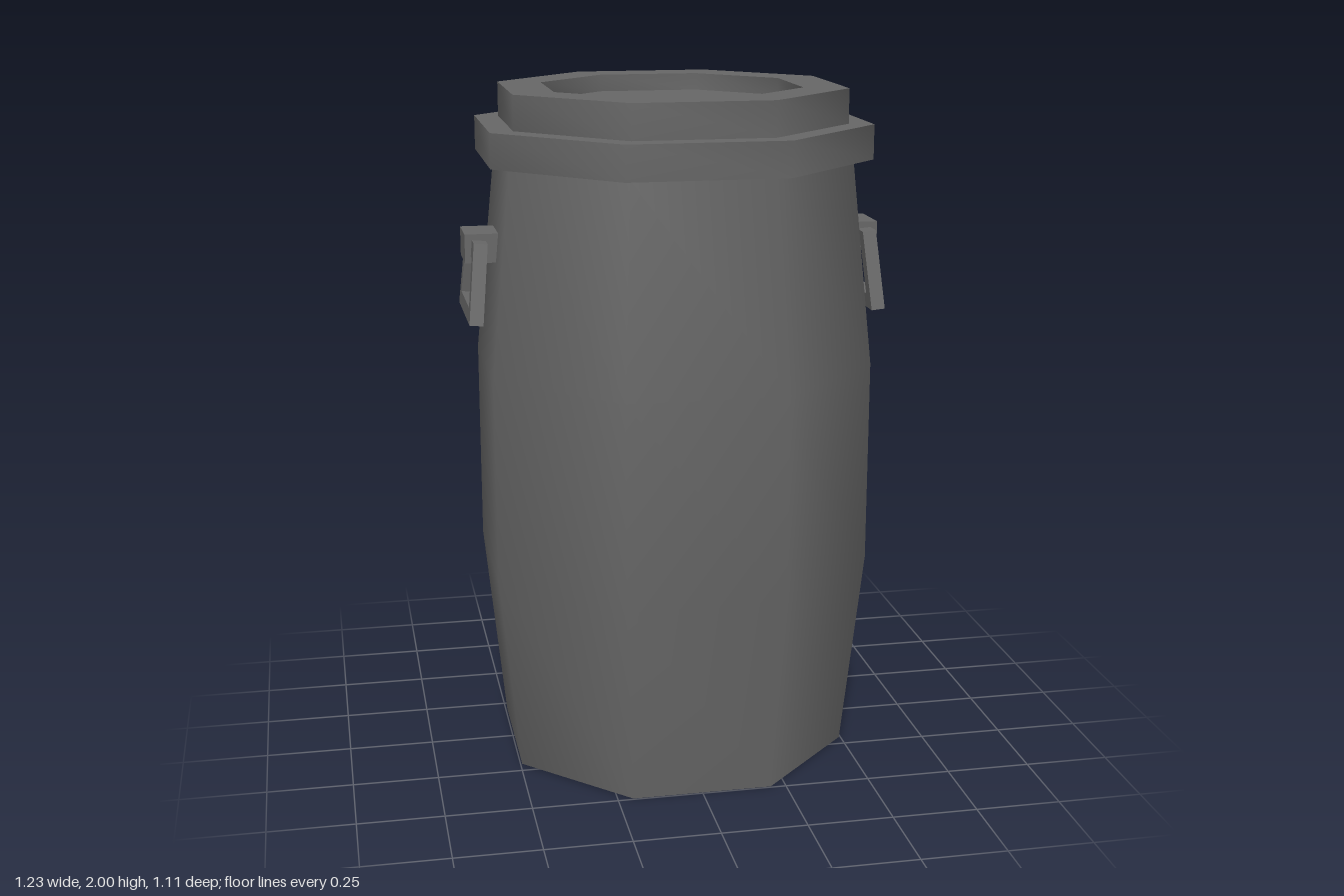
import * as THREE from 'three';
import { toCreasedNormals } from 'three/addons/utils/BufferGeometryUtils.js';

const SIDES = 8;
const plastic = new THREE.MeshStandardMaterial({ color: 0x666666 });

// Octagonal lathe, smooth around its sides but sharp at its rims;
// profile is [distance to the flat side, y], running up the outside
function octagon(name, profile) {
  const k = 1 / Math.cos(Math.PI / SIDES);
  const points = profile.map(([r, y]) => new THREE.Vector2(r * k, y));
  const geometry = new THREE.LatheGeometry(points, SIDES, Math.PI / SIDES);
  const mesh = new THREE.Mesh(toCreasedNormals(geometry, Math.PI / 3), plastic);
  mesh.name = name;
  return mesh;
}

// Closed outline of a trapezoid, symmetric about x = 0
function trapezoid(Type, topHalf, topY, bottomHalf, bottomY) {
  return new Type([
    new THREE.Vector2(-bottomHalf, bottomY),
    new THREE.Vector2(bottomHalf, bottomY),
    new THREE.Vector2(topHalf, topY),
    new THREE.Vector2(-topHalf, topY),
  ]);
}

function createHandle(name) {
  const handle = new THREE.Group();
  handle.name = name;

  // Block that joins the grip to the body
  const bracket = new THREE.Mesh(new THREE.BoxGeometry(0.112, 0.084, 0.145), plastic);
  bracket.name = 'handleBracket';
  bracket.position.set(0.556, 1.553, 0);

  // Hanging trapezoid ring, tilted outward at the bottom
  const shape = trapezoid(THREE.Shape, 0.13, 0.112, 0.17, -0.117);
  shape.holes.push(trapezoid(THREE.Path, 0.098, 0.065, 0.122, -0.075));
  const geometry = new THREE.ExtrudeGeometry(shape, { depth: 0.04, bevelEnabled: false });
  geometry.translate(0, 0, -0.02).rotateY(Math.PI / 2).rotateZ(0.095);
  const grip = new THREE.Mesh(geometry, plastic);
  grip.name = 'handleGrip';
  grip.position.set(0.582, 1.465, 0);

  handle.add(bracket, grip);
  return handle;
}

export function createModel() {
  const model = new THREE.Group();
  model.name = 'barrel';

  // Bulging body with a flat base
  model.add(octagon('body', [[0, 0], [0.495, 0], [0.555, 0.6], [0.555, 1.2], [0.495, 1.8]]));

  // Lid with a wide rim, a raised top and a shallow recess
  model.add(octagon('lid', [
    [0.48, 1.8], [0.548, 1.8], [0.548, 1.9], [0.48, 1.9],
    [0.48, 2], [0.358, 2], [0.358, 1.95], [0, 1.95],
  ]));

  // Handles on both sides
  const left = createHandle('leftHandle');
  const right = createHandle('rightHandle');
  right.rotation.y = Math.PI;
  model.add(left, right);

  return model;
}
